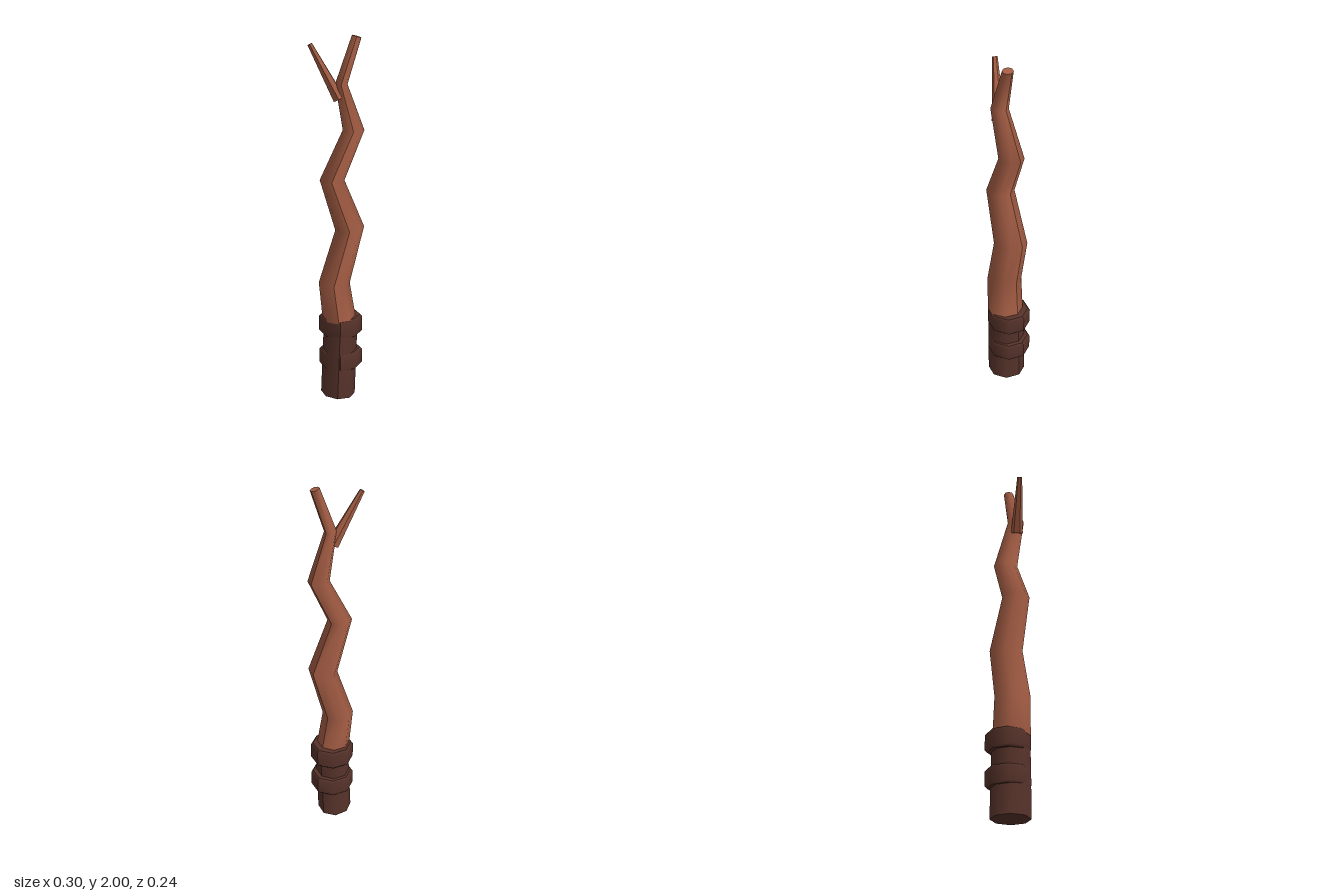
import * as THREE from 'three';

// Eight-sided section; the angles listed twice become sharp ridges.
const ANGLES = [90, 135, 180, 225, 270, 315, 315, 360, 405, 450].map(THREE.MathUtils.degToRad);

// Loft through sections [y, xMin, xMax, zMin, zMax, slope], lowest first, capped at both ends.
function loft(sections) {
  const positions = [], index = [], n = ANGLES.length;
  const addRing = ([y, x0, x1, z0, z1, slope = 0]) => {
    for (const a of ANGLES) {
      const dx = Math.cos(a) * (x1 - x0) / 2;
      positions.push((x0 + x1) / 2 + dx, y + slope * dx, (z0 + z1) / 2 + Math.sin(a) * (z1 - z0) / 2);
    }
  };
  sections.forEach(addRing);
  for (let i = 0; i < sections.length - 1; i++) {
    for (let j = 0; j < n - 1; j++) {
      if (ANGLES[j] === ANGLES[j + 1]) continue;
      const a = i * n + j, b = a + n;
      index.push(a, b, a + 1, b, b + 1, a + 1);
    }
  }
  // Flat end caps
  for (const top of [false, true]) {
    const s = sections[top ? sections.length - 1 : 0];
    const start = positions.length / 3;
    addRing(s);
    positions.push((s[1] + s[2]) / 2, s[0], (s[3] + s[4]) / 2);
    for (let j = 0; j < n - 1; j++) {
      if (ANGLES[j] === ANGLES[j + 1]) continue;
      if (top) index.push(start + n, start + j + 1, start + j);
      else index.push(start + n, start + j, start + j + 1);
    }
  }
  const geometry = new THREE.BufferGeometry();
  geometry.setAttribute('position', new THREE.Float32BufferAttribute(positions, 3));
  geometry.setIndex(index);
  geometry.computeVertexNormals();
  return geometry;
}

export function createModel() {
  const bark = new THREE.MeshStandardMaterial({ color: 0xa45d44 });
  bark.name = 'reddish bark';
  const leather = new THREE.MeshStandardMaterial({ color: 0x57332a });
  leather.name = 'dark leather';

  const group = new THREE.Group();
  group.name = 'crookedStaff';
  const add = (name, geometry, material) => {
    const mesh = new THREE.Mesh(geometry, material);
    mesh.name = name;
    group.add(mesh);
    return mesh;
  };

  // Zigzag shaft, thinning towards the tip
  add('shaft', loft([
    [0.45, -0.08, 0.105, -0.08, 0.12],
    [0.66, -0.10, 0.07, -0.07, 0.12],
    [0.96, -0.01, 0.147, -0.10, 0.08, 0.15],
    [1.24, -0.092, 0.04, -0.03, 0.12],
    [1.50, 0.03, 0.145, -0.08, 0.053],
    [1.75, -0.01, 0.055, 0.0, 0.092],
    [1.993, 0.077, 0.126, -0.024, 0.033, -0.28],
  ]), bark);

  // Side twig at the fork
  const base = new THREE.Vector3(0.01, 1.675, 0.052);
  const tip = new THREE.Vector3(-0.139, 1.957, 0.07);
  const direction = tip.clone().sub(base);
  const twigGeometry = new THREE.CylinderGeometry(0.014, 0.034, direction.length(), 6).toNonIndexed();
  twigGeometry.computeVertexNormals();
  const twig = add('sideTwig', twigGeometry, bark);
  twig.position.copy(base).add(tip).multiplyScalar(0.5);
  twig.quaternion.setFromUnitVectors(new THREE.Vector3(0, 1, 0), direction.normalize());

  // Wrapped grip around the foot
  add('grip', loft([
    [0.006, -0.09, 0.10, -0.092, 0.12, -0.06],
    [0.46, -0.072, 0.115, -0.085, 0.118],
  ]), leather);

  // Two raised bands with softened rims
  const band = (name, y0, y1) => {
    const ring = (y, r) => [y, 0.02 - r, 0.02 + r, -r, r];
    add(name, loft([
      ring(y0, 0.108), ring(y0 + 0.012, 0.12), ring(y1 - 0.012, 0.12), ring(y1, 0.108),
    ]), leather);
  };
  band('lowerBand', 0.17, 0.272);
  band('upperBand', 0.362, 0.468);

  return group;
}
